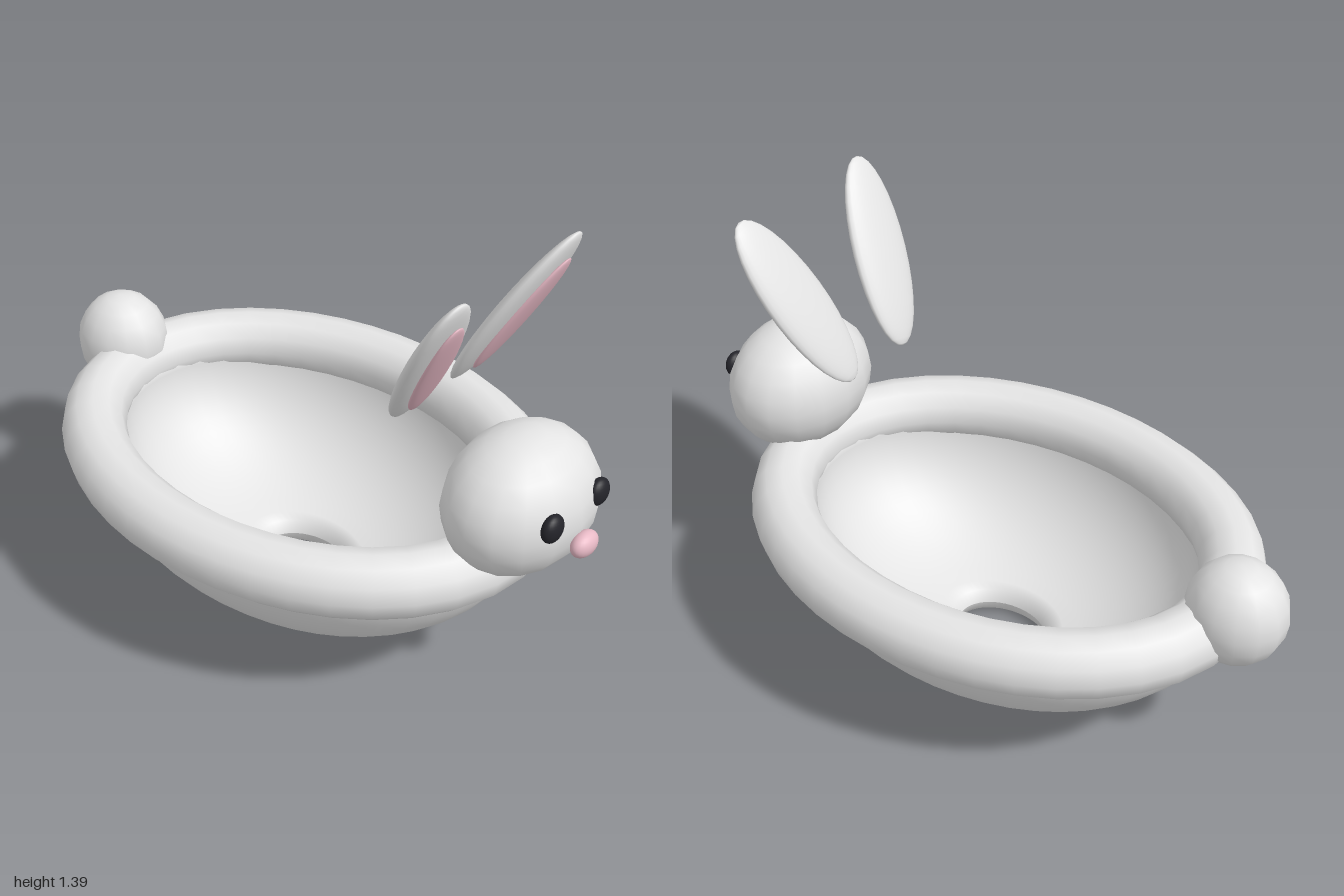
import * as THREE from 'three';

const fur = new THREE.MeshStandardMaterial({ color: 0xe4e4e4 });
fur.name = 'furWhite';
const pink = new THREE.MeshStandardMaterial({ color: 0xe8bac6 });
pink.name = 'softPink';
const black = new THREE.MeshStandardMaterial({ color: 0x24242a });
black.name = 'eyeBlack';

const CENTRE_Z = -0.04; // middle of the oval basket

function ellipsoid(name, material, pos, radii, w = 24, h = 16) {
  const mesh = new THREE.Mesh(new THREE.SphereGeometry(1, w, h), material);
  mesh.name = name;
  mesh.position.set(...pos);
  mesh.scale.set(...radii);
  return mesh;
}

// Thick oval bowl with a rounded hole through its bottom
function bowl() {
  const profile = [];
  const arc = (rx, ry, from, to, n) => {
    for (let i = 0; i <= n; i++) {
      const a = THREE.MathUtils.lerp(from, to, i / n);
      profile.push(new THREE.Vector2(rx * Math.sin(a), 0.5 - ry * Math.cos(a)));
    }
  };
  profile.push(new THREE.Vector2(0.112, 0.05), new THREE.Vector2(0.12, 0.018), new THREE.Vector2(0.14, 0.004));
  arc(0.575, 0.497, 0.31, Math.PI / 2, 14);  // outside, going up
  arc(0.475, 0.42, Math.PI / 2, 0.33, 14);   // inside, going down
  profile.push(new THREE.Vector2(0.125, 0.092), new THREE.Vector2(0.112, 0.05));
  const mesh = new THREE.Mesh(new THREE.LatheGeometry(profile, 48), fur);
  mesh.name = 'bowl';
  mesh.scale.z = 1.357;
  mesh.position.z = CENTRE_Z;
  return mesh;
}

// Round padded rim of even thickness along an oval path
function rim() {
  const points = [];
  for (let i = 0; i < 32; i++) {
    const a = (i / 32) * Math.PI * 2;
    points.push(new THREE.Vector3(0.548 * Math.sin(a), 0.49, 0.742 * Math.cos(a)));
  }
  const path = new THREE.CatmullRomCurve3(points, true);
  const mesh = new THREE.Mesh(new THREE.TubeGeometry(path, 40, 0.101, 12, true), fur);
  mesh.name = 'rim';
  mesh.position.z = CENTRE_Z;
  return mesh;
}

// Flat ear leaning outward and forward, with a pink lining
function ear(side) {
  const group = new THREE.Group();
  group.name = side > 0 ? 'leftEar' : 'rightEar';
  group.add(
    ellipsoid('earShell', fur, [0, 0, 0], [0.106, 0.295, 0.033]),
    ellipsoid('earLining', pink, [0, 0, 0.027], [0.066, 0.222, 0.017])
  );
  group.position.set(side * 0.188, 1.145, 0.56);
  group.rotation.set(0.5, 0, -side * 0.25);
  return group;
}

export function createModel() {
  const model = new THREE.Group();
  model.name = 'rabbitBasket';
  model.add(bowl(), rim());

  // Head and face
  model.add(ellipsoid('head', fur, [0, 0.708, 0.755], [0.257, 0.21, 0.2], 16, 12));
  model.add(ellipsoid('nose', pink, [0, 0.655, 0.967], [0.051, 0.037, 0.031]));
  for (const side of [1, -1]) {
    const eye = ellipsoid('eye', black, [side * 0.108, 0.75, 0.93], [0.041, 0.042, 0.025]);
    model.add(eye, ear(side));
  }

  // Tail
  model.add(ellipsoid('tail', fur, [0, 0.555, -0.847], [0.145, 0.165, 0.153], 14, 10));
  return model;
}
